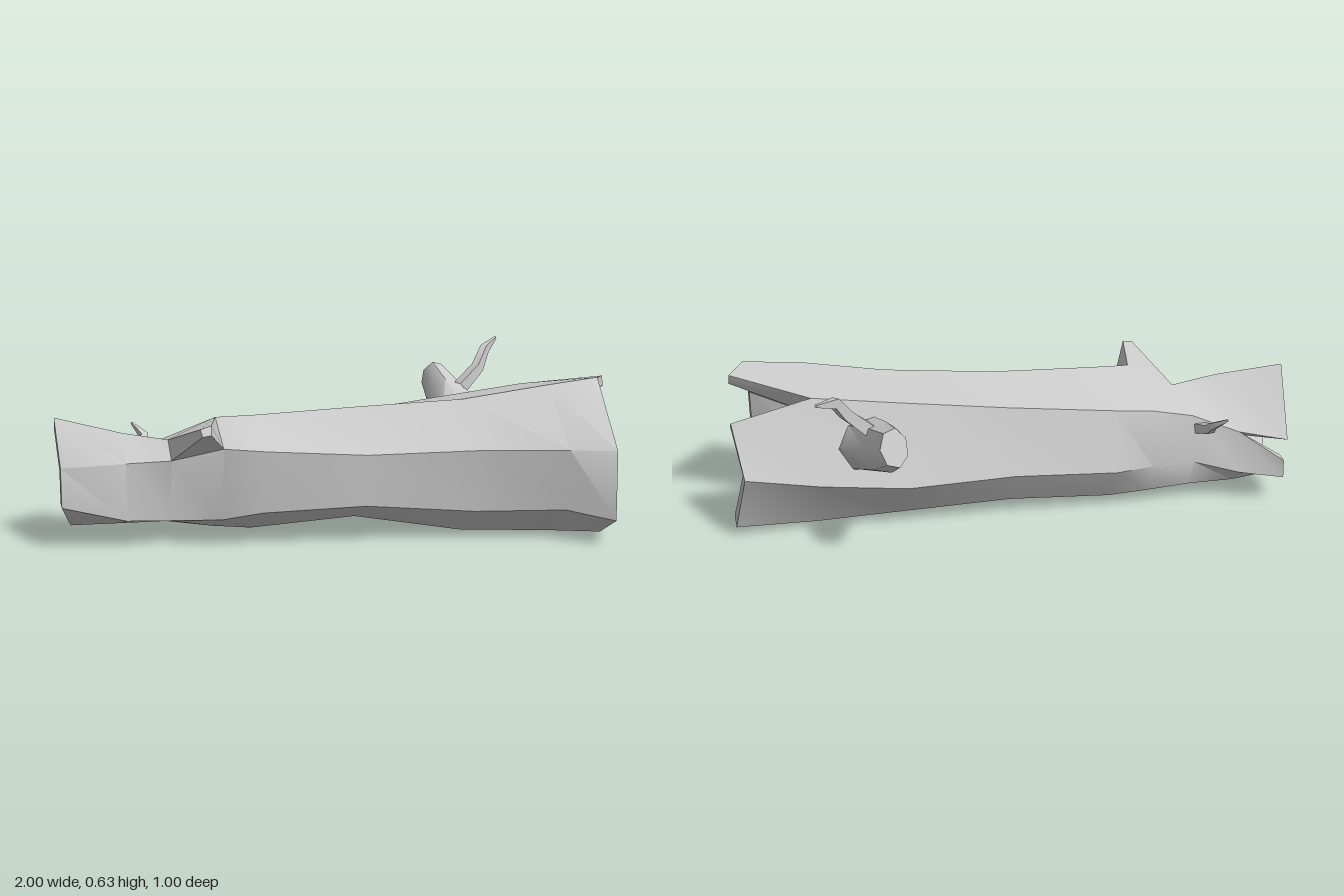
import * as THREE from 'three';
import { toCreasedNormals } from 'three/addons/utils/BufferGeometryUtils.js';

const V = (x, y, z) => new THREE.Vector3(x, y, z);
const material = new THREE.MeshStandardMaterial({ color: 0xcccccc, side: THREE.DoubleSide });

// Collects triangles, skipping collapsed ones.
class Faces {
  constructor() { this.points = []; }
  tri(a, b, c) {
    const area = b.clone().sub(a).cross(c.clone().sub(a)).length();
    if (area > 1e-6) this.points.push(a, b, c);
  }
  quad(a, b, c, d) { this.tri(a, b, c); this.tri(a, c, d); }
  fan(ring) {
    for (let i = 1; i < ring.length - 1; i++) this.tri(ring[0], ring[i], ring[i + 1]);
  }
  // Skins rings; strip "open" is left out.
  loft(rows, open = -1) {
    const n = rows[0].length;
    for (let i = 0; i < rows.length - 1; i++) {
      for (let j = 0; j < n; j++) {
        if (j === open) continue;
        const k = (j + 1) % n;
        this.quad(rows[i][j], rows[i][k], rows[i + 1][k], rows[i + 1][j]);
      }
    }
  }
  mesh(name, crease) {
    const g = new THREE.BufferGeometry().setFromPoints(this.points);
    const m = new THREE.Mesh(toCreasedNormals(g, crease), material);
    m.name = name;
    return m;
  }
}

// Tapered branch: stations are [x, y, z, half width, half height].
function branch(name, sides, stations) {
  const c = stations.map((s) => V(s[0], s[1], s[2]));
  const rows = stations.map(([, , , w, h], i) => {
    const t = c[Math.min(i + 1, c.length - 1)].clone().sub(c[Math.max(i - 1, 0)]).normalize();
    const u = V(0, 1, 0).cross(t).normalize();
    const v = t.clone().cross(u);
    return Array.from({ length: sides }, (_, k) => {
      const a = ((k + 0.5) / sides) * Math.PI * 2;
      return c[i].clone().addScaledVector(u, Math.cos(a) * w).addScaledVector(v, Math.sin(a) * h);
    });
  });
  const f = new Faces();
  f.loft(rows);
  f.fan(rows[rows.length - 1]);
  return f.mesh(name, 0.9);
}

const shrink = (ring, center, s, x) => ring.map((p) => V(
  x === undefined ? p.x : x,
  center[0] + (p.y - center[0]) * s,
  center[1] + (p.z - center[1]) * s));

function hollowLog() {
  // Sections: x, then [y, z] from the crest forward, under and up the back.
  const sections = [
    [-0.78, [[0.40, -0.05], [0.305, 0.025], [0.10, 0.02], [0.067, -0.09], [0.06, -0.24], [0.12, -0.31], [0.27, -0.285]]],
    [-0.62, [[0.37, -0.03], [0.305, 0.025], [0.085, 0], [0.06, -0.1], [0.06, -0.225], [0.16, -0.255], [0.33, -0.225]]],
    [-0.46, [[0.45, 0.015], [0.36, 0.14], [0.1, 0.1], [0.04, -0.06], [0.05, -0.21], [0.17, -0.265], [0.37, -0.225]]],
    [-0.32, [[0.453, 0.03], [0.345, 0.155], [0.12, 0.125], [0.025, -0.05], [0.04, -0.19], [0.17, -0.275], [0.385, -0.215]]],
    [0.04, [[0.468, 0.063], [0.32, 0.205], [0.135, 0.195], [0.065, 0.05], [0.055, -0.14], [0.18, -0.215], [0.41, -0.135]]],
    [0.42, [[0.49, 0.145], [0.33, 0.29], [0.105, 0.265], [0.005, 0.13], [0.035, -0.08], [0.18, -0.195], [0.46, -0.09]]],
    [0.72, [[0.535, 0.20], [0.335, 0.405], [0.115, 0.38], [0, 0.21], [0.02, -0.035], [0.22, -0.17], [0.5, -0.05]]],
  ];
  const body = sections.map(([x, pts]) => {
    const ring = pts.map(([y, z]) => V(x, y, z));
    return [...ring, ring[6]]; // doubled point splits into a crack at each end
  });
  const leftRim = [V(-1, 0.45, -0.14), V(-1, 0.295, -0.01), V(-1, 0.155, -0.01), V(-0.96, 0.07, -0.1),
    V(-0.95, 0.07, -0.24), V(-0.93, 0.1, -0.355), V(-0.925, 0.17, -0.36), V(-0.92, 0.265, -0.385)];
  const rightRim = [V(0.91, 0.555, 0.21), V(0.86, 0.34, 0.49), V(0.855, 0.095, 0.505), V(0.9, 0, 0.29),
    V(1, 0.037, -0.03), V(0.97, 0.25, -0.11), V(0.99, 0.42, 0), V(0.97, 0.545, 0.125)];
  const leftInner = shrink(leftRim, [0.22, -0.18], 0.83);
  const rightInner = shrink(rightRim, [0.27, 0.21], 0.87);
  const first = body[0];
  const last = body[body.length - 1];
  const leftFloor = shrink(first, [0.21, -0.14], 0.55, -0.74);
  const rightFloor = shrink(last, [0.25, 0.16], 0.48, 0.66);

  const f = new Faces();
  f.loft([leftFloor, leftInner, leftRim, ...body, rightRim, rightInner, rightFloor], 6);
  f.fan(rightFloor);
  f.fan([...leftFloor].reverse());
  // Walls of the cracks
  f.quad(rightFloor[6], rightInner[6], rightRim[6], last[6]);
  f.quad(last[7], rightRim[7], rightInner[7], rightFloor[7]);
  f.quad(first[6], leftRim[6], leftInner[6], leftFloor[6]);
  f.quad(leftFloor[7], leftInner[7], leftRim[7], first[7]);
  return f.mesh('hollowLog', 0.7);
}

// Snag drawn out of the upper front of the log
function frontSnag() {
  const base = [V(-0.62, 0.37, -0.03), V(-0.62, 0.305, 0.025), V(-0.46, 0.36, 0.14), V(-0.46, 0.45, 0.015)];
  const tip = [V(-0.56, 0.45, 0.225), V(-0.555, 0.425, 0.237), V(-0.525, 0.43, 0.24), V(-0.52, 0.46, 0.22)];
  const f = new Faces();
  f.loft([base, tip]);
  f.fan(tip);
  return f.mesh('frontSnag', 0.6);
}

export function createModel() {
  const group = new THREE.Group();
  group.name = 'fallenLog';
  group.add(
    hollowLog(),
    frontSnag(),
    // Broken limb on the back, with a curved twig
    branch('backLimb', 7, [[0.535, 0.28, -0.02, 0.125, 0.1], [0.535, 0.34, -0.14, 0.108, 0.095],
      [0.53, 0.41, -0.32, 0.07, 0.088], [0.53, 0.475, -0.468, 0.047, 0.066]]),
    branch('limbTwig', 4, [[0.57, 0.46, -0.27, 0.03, 0.03], [0.645, 0.53, -0.285, 0.024, 0.026],
      [0.69, 0.595, -0.325, 0.018, 0.024], [0.765, 0.625, -0.4, 0.006, 0.006]]),
    // Small twig near the narrow end
    branch('smallTwig', 4, [[-0.64, 0.28, -0.22, 0.025, 0.025], [-0.66, 0.3, -0.29, 0.022, 0.022],
      [-0.65, 0.33, -0.33, 0.018, 0.018], [-0.685, 0.37, -0.38, 0.005, 0.005]]),
  );
  return group;
}
